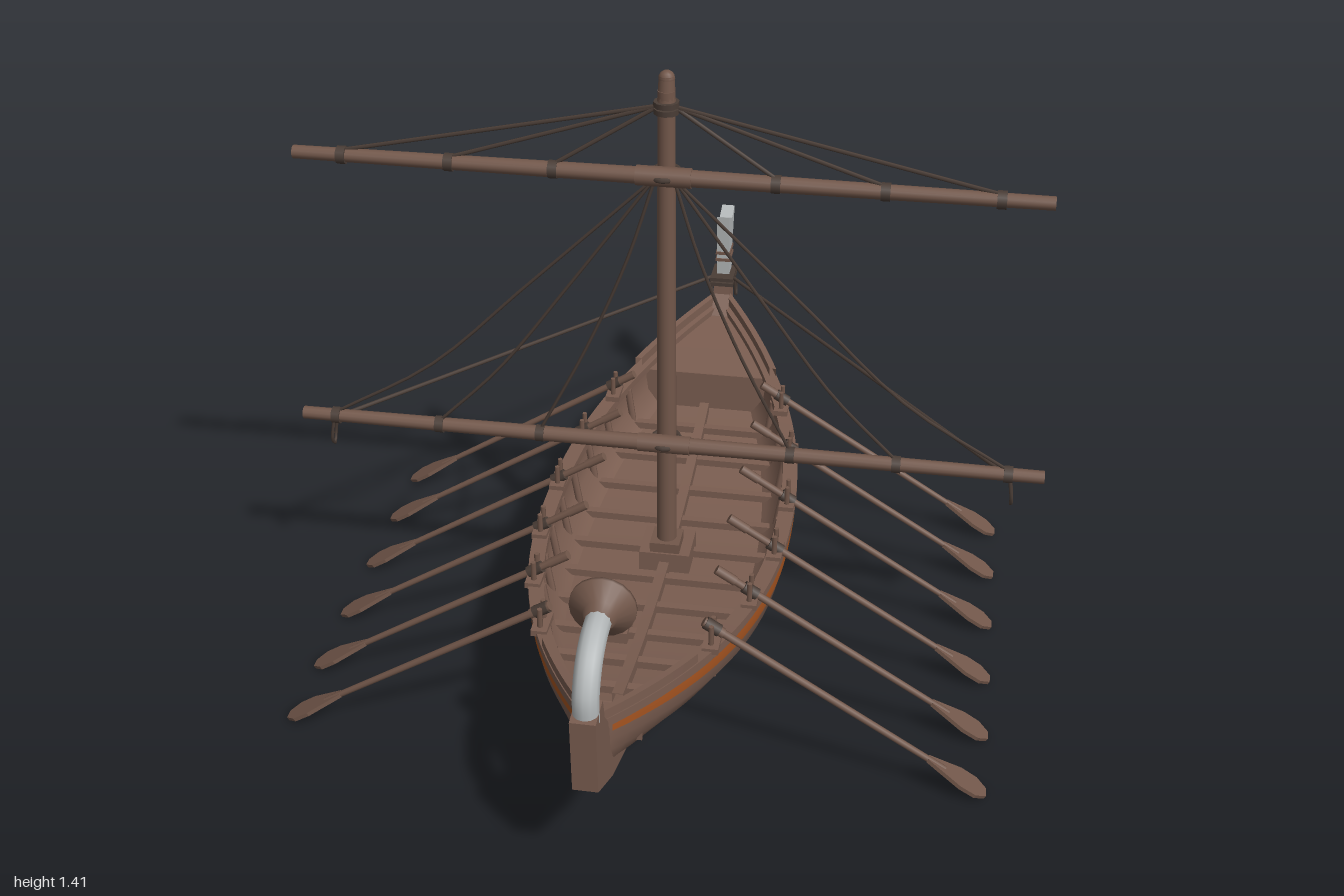
import * as THREE from 'three';
import { toCreasedNormals } from 'three/addons/utils/BufferGeometryUtils.js';

const V = (x, y, z) => new THREE.Vector3(x, y, z);
const mat = (name, color) => new THREE.MeshStandardMaterial({ name, color, side: THREE.DoubleSide });

// hull lines as functions of z
const halfWidth = z => 0.29 * Math.max(0, 1 - Math.pow(Math.abs(z) / (z > 0 ? 0.9 : 0.93), 2.2));
const sheer = z => 0.305 + 0.105 * z * z;
const keel = z => 0.06 + 0.24 * z * z;
const floorY = z => keel(z) + 0.42 * (sheer(z) - keel(z));
const SECTION = [[1, 1], [1, 0.82], [0.97, 0.6], [0.82, 0.4], [0.58, 0.21], [0.25, 0.06], [0, 0]];
// outer half width at a given fraction of the section height
function sectionX(f) {
  for (let i = 1; i < SECTION.length; i++) {
    const [x0, f0] = SECTION[i - 1], [x1, f1] = SECTION[i];
    if (f >= f1) return x1 + (x0 - x1) * (f - f1) / (f0 - f1);
  }
  return 0;
}

// skin between cross-sections [x, y] taken along z
function loft(section, z0, z1, n, crease = 0.6) {
  const pos = [], index = [];
  let m = 0;
  for (let i = 0; i <= n; i++) {
    const z = z0 + (z1 - z0) * i / n, pts = section(z);
    m = pts.length;
    pts.forEach(([x, y]) => pos.push(x, y, z));
  }
  for (let i = 0; i < n; i++) for (let j = 0; j < m - 1; j++) {
    const a = i * m + j, b = a + m;
    index.push(a, a + 1, b, b, a + 1, b + 1);
  }
  const g = new THREE.BufferGeometry();
  g.setAttribute('position', new THREE.Float32BufferAttribute(pos, 3));
  g.setIndex(index);
  return toCreasedNormals(g, crease);
}

// side outline of [z, y] points, given thickness across x
function plate(points, t) {
  const g = new THREE.ExtrudeGeometry(new THREE.Shape(points.map(p => new THREE.Vector2(...p))),
    { depth: t, bevelEnabled: false });
  return g.rotateY(-Math.PI / 2).translate(t / 2, 0, 0);
}

function rod(a, b, r0, r1 = r0, sides = 10) {
  const d = b.clone().sub(a), g = new THREE.CylinderGeometry(r1, r0, d.length(), sides);
  g.applyQuaternion(new THREE.Quaternion().setFromUnitVectors(V(0, 1, 0), d.normalize()));
  return g.translate((a.x + b.x) / 2, (a.y + b.y) / 2, (a.z + b.z) / 2);
}
const rope = (pts, r = 0.004) => new THREE.TubeGeometry(new THREE.CatmullRomCurve3(pts), 14, r, 5);
const box = (w, h, d, x, y, z) => new THREE.BoxGeometry(w, h, d).translate(x, y, z);

export function createModel() {
  const model = new THREE.Group();
  const wood = mat('hull wood', 0x7a5d50), spar = mat('spar wood', 0x72574a), dark = mat('rope', 0x4a3d36);
  const orange = mat('orange paint', 0xa65420), pale = mat('pale grey', 0xb4b8b9);
  const add = (name, geo, m, parent = model) => {
    const mesh = new THREE.Mesh(geo, m);
    mesh.name = name;
    parent.add(mesh);
    return mesh;
  };

  // hull shell and inner lining
  const shell = (inset, lift) => z => {
    const w = Math.max(0, halfWidth(z) - inset), k = keel(z) + lift, h = sheer(z) - k;
    const half = SECTION.map(([x, f]) => [x * w, k + f * h]);
    return [...half, ...half.slice(0, -1).reverse().map(([x, y]) => [-x, y])];
  };
  add('hull', loft(shell(0, 0), -0.93, 0.9, 44, 1), wood);
  add('hullLining', loft(shell(0.022, 0.02), -0.9, 0.87, 44, 1), wood);
  const flat = (inset, y) => z => {
    const w = Math.max(0, halfWidth(z) * (inset > 0.03 ? 0.93 : 1) - inset);
    return [[-w, y(z)], [w, y(z)]];
  };
  add('floor', loft(flat(0.035, floorY), -0.84, 0.8, 30), wood);
  add('sternDeck', loft(flat(0.015, z => sheer(z) - 0.012), -0.91, -0.6, 12), wood);
  add('bowDeck', loft(flat(0.015, z => sheer(z) - 0.03), 0.76, 0.88, 6), wood);
  for (const z of [-0.6, 0.76]) {
    const w = halfWidth(z) - 0.015, y0 = floorY(z) - 0.02, y1 = sheer(z) - (z < 0 ? 0.012 : 0.03);
    add('bulkhead', box(2 * w * 0.97, y1 - y0, 0.008, 0, (y0 + y1) / 2, z), wood);
  }

  for (const s of [1, -1]) {
    // gunwale, raised end planks and painted stripe
    add('gunwale', loft(z => {
      const w = halfWidth(z), y = sheer(z), a = s * (w + 0.006), b = s * Math.max(0, w - 0.03);
      return [[a, y - 0.016], [a, y + 0.004], [b, y + 0.004], [b, y - 0.016], [a, y - 0.016]];
    }, -0.93, 0.9, 44), wood);
    for (const [z0, z1] of [[-0.92, -0.59], [0.62, 0.89]]) {
      add('endPlank', loft(z => {
        const w = halfWidth(z), y = sheer(z), a = s * (w + 0.003), b = s * Math.max(0, w - 0.014);
        return [[a, y], [a, y + 0.026], [b, y + 0.026], [b, y]];
      }, z0, z1, 12), wood);
    }
    add('stripe', loft(z => {
      const h = sheer(z) - keel(z);
      return [0.9, 0.82, 0.77].map(f => [s * (sectionX(f) * halfWidth(z) + 0.004), keel(z) + f * h]);
    }, -0.88, 0.86, 44, 1), orange);
    add('topLine', loft(z => [0.02, 0.026].map(d => [s * (halfWidth(z) + 0.004), sheer(z) - d]), -0.88, 0.86, 44), orange);
  }

  // ribs, thwarts and centre beam
  for (let i = 0; i < 10; i++) {
    const z = -0.5 + i * 0.122, w = halfWidth(z) - 0.024, y = floorY(z) + 0.012;
    add('crossBeam', box(2 * w * 0.95, 0.018, 0.02, 0, y, z), wood);
    for (const s of [1, -1]) add('rib', rod(V(s * w * 0.92, y, z), V(s * (w - 0.002), sheer(z) - 0.01, z), 0.009, 0.009, 6), wood);
  }
  add('centreBeam', loft(z => {
    const y = floorY(z) + 0.028;
    return [[-0.012, y - 0.03], [-0.012, y], [0.012, y], [0.012, y - 0.03]];
  }, -0.58, 0.65, 20), wood);
  add('mastStep', box(0.12, 0.05, 0.11, 0, 0.19, 0.01), wood);
  add('mastStepTop', box(0.07, 0.03, 0.07, 0, 0.225, 0.025), spar);
  add('hatch', box(0.1, 0.03, 0.1, -0.08, floorY(0.33) + 0.02, 0.335), wood);

  // keel, stem and stern posts
  const keelLine = [];
  for (let i = 0; i <= 14; i++) keelLine.push(-0.86 + 1.72 * i / 14);
  add('keel', plate([...keelLine.map(z => [z, keel(z) - 0.006]), ...keelLine.reverse().map(z => [z, keel(z) + 0.02])], 0.024), wood);
  add('stemPost', plate([[0.68, 0.155], [0.84, 0.215], [0.98, 0.295], [0.99, 0.47], [0.92, 0.475], [0.905, 0.42], [0.875, 0.385], [0.83, 0.27]], 0.052), wood);
  add('sternPost', plate([[-0.68, 0.155], [-0.83, 0.215], [-0.945, 0.284], [-0.962, 0.39], [-0.957, 0.47], [-0.888, 0.47], [-0.885, 0.42], [-0.85, 0.37], [-0.8, 0.26]], 0.044), wood);

  // curled bow horn ending in a flared disc
  add('bowHorn', new THREE.TubeGeometry(new THREE.CatmullRomCurve3(
    [V(0, 0.45, 0.955), V(0, 0.51, 0.953), V(0, 0.56, 0.92), V(0, 0.585, 0.87), V(0, 0.588, 0.8)]), 24, 0.027, 12), pale);
  add('hornDisc', new THREE.LatheGeometry([[0, 0], [0.025, 0], [0.035, 0.025], [0.068, 0.052], [0.068, 0.06], [0.035, 0.082], [0, 0.085]]
    .map(p => new THREE.Vector2(...p)), 20).rotateX(-Math.PI / 2).translate(0, 0.588, 0.833), spar);

  // stern fan with bindings
  add('sternFan', plate([[-0.908, 0.46], [-0.958, 0.46], [-0.966, 0.54], [-1, 0.636], [-0.95, 0.622], [-0.898, 0.645], [-0.905, 0.54]], 0.034), pale);
  for (const y of [0.515, 0.535]) add('fanBand', box(0.04, 0.008, 0.066, 0, y, -0.935), spar);
  for (const y of [0.452, 0.466]) add('sternLashing', box(0.062, 0.01, 0.088, 0, y, -0.922), dark);
  for (const s of [1, -1]) {
    add('sternLoop', rope([V(s * 0.03, 0.46, -0.92), V(s * 0.034, 0.42, -0.935), V(s * 0.034, 0.4, -0.925), V(s * 0.032, 0.46, -0.905)]), dark);
  }

  // mast and yards
  const mz = 0.025, yz = 0.06;
  add('mast', rod(V(0, 0.16, mz), V(0, 1.37, mz), 0.024, 0.019, 14), spar);
  add('mastHead', rod(V(0, 1.345, mz), V(0, 1.4, mz - 0.004), 0.02, 0.017, 12), spar);
  add('mastTip', new THREE.SphereGeometry(0.018, 12, 8).translate(0, 1.395, mz - 0.004), spar);
  for (const y of [1.325, 1.34]) add('mastCollar', rod(V(0, y - 0.006, mz), V(0, y + 0.006, mz), 0.028), dark);
  const yards = [
    { name: 'upperYard', y: 1.188, l: 0.82, bands: [0.24, 0.47, 0.71] },
    { name: 'lowerYard', y: 0.52, l: 0.86, bands: [0.29, 0.53, 0.78] }];
  for (const { name, y, l, bands } of yards) {
    for (const s of [1, -1]) {
      add(name, rod(V(0, y, yz), V(s * l, y, yz), 0.019, 0.015, 12), spar);
      for (const x of bands) add('yardBand', rod(V(s * (x - 0.01), y, yz), V(s * (x + 0.01), y, yz), 0.02), dark);
    }
    add('yardSleeve', rod(V(-0.06, y, yz), V(0.06, y, yz), 0.022), spar);
    add('yardLashing', new THREE.TorusGeometry(0.032, 0.006, 6, 16).rotateX(Math.PI / 2).scale(1, 1, 1.3).translate(0, y, 0.04), dark);
  }

  // rigging
  for (const s of [1, -1]) {
    for (const x of yards[0].bands) add('yardLift', rod(V(s * 0.015, 1.335, mz), V(s * x, 1.2, yz), 0.005, 0.005, 5), dark);
    for (const [x, a, b] of [[0.78, [0.54, 0.68], [0.31, 0.9]], [0.53, [0.38, 0.685], [0.22, 0.9]], [0.29, [0.175, 0.76], [0.083, 0.98]]]) {
      add('brailRope', rope([V(s * x, 0.53, yz), V(s * a[0], a[1], yz), V(s * b[0], b[1], yz - 0.005), V(s * 0.02, 1.18, 0.05)]), dark);
    }
    add('braceRope', rod(V(s * 0.78, 0.515, yz), V(s * 0.02, 0.46, -0.92), 0.005, 0.005, 6), dark);
    add('yardLoop', rope([V(s * 0.785, 0.51, yz + 0.012), V(s * 0.792, 0.46, yz + 0.012), V(s * 0.792, 0.442, yz),
      V(s * 0.792, 0.46, yz - 0.012), V(s * 0.785, 0.51, yz - 0.012)]), dark);
  }

  // oars with thole pins
  const blade = new THREE.ExtrudeGeometry(new THREE.Shape([[0.575, -0.008], [0.66, -0.03], [0.7, -0.029], [0.7255, -0.012],
    [0.7255, 0.012], [0.7, 0.029], [0.66, 0.03], [0.575, 0.008]].map(p => new THREE.Vector2(...p))),
  { depth: 0.009, bevelEnabled: false }).translate(0, 0, -0.0045).rotateX(Math.PI / 2);
  const shaft = rod(V(0, 0, 0), V(0.62, 0, 0), 0.009, 0.007, 8), grip = rod(V(0, 0, 0), V(0.05, 0, 0), 0.011, 0.011, 8);
  for (const s of [1, -1]) for (const z of [0.54, 0.353, 0.152, -0.057, -0.265, -0.456]) {
    const side = new THREE.Group(), oar = new THREE.Group();
    side.name = 'oarStation';
    oar.name = 'oar';
    side.rotation.y = s > 0 ? 0 : Math.PI;
    side.position.z = z;
    oar.position.set(0.165, 0.395, 0);
    oar.rotation.z = -0.559;
    add('oarShaft', shaft, spar, oar);
    add('oarGrip', grip, spar, oar);
    add('oarBlade', blade, spar, oar);
    const x = halfWidth(z) - 0.012, y = sheer(z);
    for (const d of [-0.017, 0.017]) add('tholePin', rod(V(x, y - 0.03, d), V(x, y + 0.06, d), 0.007, 0.006, 6), spar, side);
    add('tholeBlock', box(0.035, 0.014, 0.07, x, y + 0.008, 0), wood, side);
    add('oarLashing', rod(V(x - 0.015, 0.404 - (x - 0.165) * 0.626, 0), V(x + 0.015, 0.386 - (x - 0.165) * 0.626, 0), 0.014, 0.014, 8), dark, side);
    side.add(oar);
    model.add(side);
  }
  return model;
}
